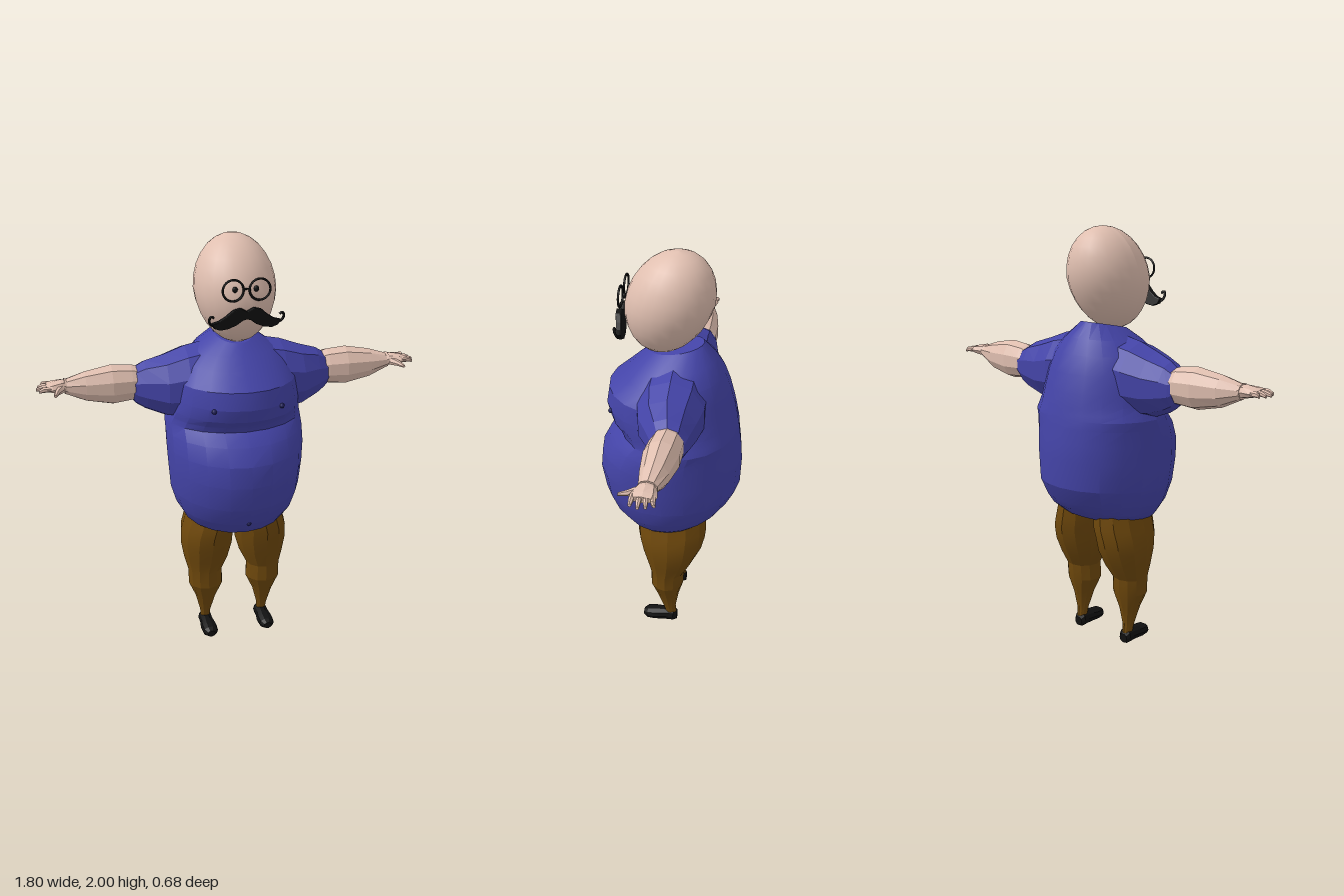
import * as THREE from 'three';
import { toCreasedNormals } from 'three/addons/utils/BufferGeometryUtils.js';

const mat = (color, flatShading = false) => new THREE.MeshStandardMaterial({ color, flatShading });
const V = (x, y, z) => new THREE.Vector3(x, y, z);

// Oval cross-section around c, spanned by u and v; sections advance along u x v
function oval(c, u, v, n) {
  return Array.from({ length: n }, (_, i) => {
    const a = (i / n) * Math.PI * 2;
    return c.clone().addScaledVector(u, Math.cos(a)).addScaledVector(v, Math.sin(a));
  });
}

// Skin over cross-sections with closed ends; side = -1 mirrors it in x
function loft(rings, side = 1, crease = 0.4) {
  if (side < 0) rings = rings.map(r => r.map(p => V(-p.x, p.y, p.z)).reverse());
  const n = rings[0].length, last = rings.length - 1, pos = [], idx = [];
  const middle = r => r.reduce((s, p) => s.add(p), V(0, 0, 0)).divideScalar(n);
  rings.flat().concat(middle(rings[0]), middle(rings[last])).forEach(p => pos.push(p.x, p.y, p.z));
  const c0 = n * rings.length;
  for (let j = 0; j < n; j++) {
    const k = (j + 1) % n;
    for (let i = 0; i < last; i++) {
      const a = i * n + j, b = i * n + k;
      idx.push(a, b, b + n, a, b + n, a + n);
    }
    idx.push(c0, k, j, c0 + 1, last * n + j, last * n + k);
  }
  const g = new THREE.BufferGeometry();
  g.setAttribute('position', new THREE.Float32BufferAttribute(pos, 3));
  g.setIndex(idx);
  return toCreasedNormals(g, crease);
}

export function createModel() {
  const model = new THREE.Group();
  const shirt = mat(0x4444a8), sleeveMat = mat(0x4444a8, true), skin = mat(0xe0bfb0);
  const skinFlat = mat(0xe0bfb0, true), trousers = mat(0x70490c), black = mat(0x111111);
  const add = (name, geo, material, x = 0, y = 0, z = 0) => {
    const m = new THREE.Mesh(geo, material);
    m.name = name;
    m.position.set(x, y, z);
    model.add(m);
    return m;
  };

  // Torso: front y, front z, back y, back z, half width
  const torso = [
    [.605, .145, .665, -.19, .21], [.64, .22, .72, -.26, .255], [.71, .28, .76, -.29, .285],
    [.80, .32, .84, -.33, .31], [.92, .34, .97, -.335, .32], [1.02, .33, 1.05, -.33, .325],
    [1.10, .29, 1.12, -.32, .325], [1.155, .235, 1.16, -.315, .325], [1.185, .25, 1.185, -.31, .315],
    [1.22, .283, 1.22, -.305, .305], [1.28, .30, 1.28, -.292, .295], [1.36, .287, 1.36, -.27, .28],
    [1.43, .21, 1.44, -.24, .24], [1.48, .16, 1.51, -.2, .18], [1.53, .10, 1.58, -.145, .09],
  ].map(([yf, zf, yb, zb, w]) =>
    oval(V(0, (yf + yb) / 2, (zf + zb) / 2), V(0, (yf - yb) / 2, (zf - zb) / 2), V(w, 0, 0), 20));
  add('torso', loft(torso, 1, 0.35), shirt);
  add('navel', new THREE.SphereGeometry(.012, 8, 6), mat(0x22225c), 0, .715, .276);

  // Egg-shaped head, chin pushed forward
  const head = new THREE.SphereGeometry(1, 24, 14);
  const hp = head.attributes.position;
  for (let i = 0; i < hp.count; i++) {
    const y = hp.getY(i), taper = y < 0 ? 1 + .08 * y : 1;
    hp.setXYZ(i, hp.getX(i) * .185 * taper, 1.765 + y * .235, .01 - .04 * y + hp.getZ(i) * .198 * taper);
  }
  head.computeVertexNormals();
  add('head', head, skin);

  // Moustache body, leaning with the face
  const half = [[.03, 1.722], [.06, 1.715], [.09, 1.688], [.12, 1.668], [.148, 1.66],
    [.14, 1.642], [.115, 1.632], [.08, 1.637], [.045, 1.652], [.02, 1.672]];
  const outline = [[0, 1.705], ...half, [0, 1.678], ...half.slice().reverse().map(([x, y]) => [-x, y])];
  const lean = g => {
    const p = g.attributes.position;
    for (let i = 0; i < p.count; i++) p.setZ(i, p.getZ(i) + (p.getY(i) - 1.68) * .28);
    g.computeVertexNormals();
    return g;
  };
  const tache = new THREE.ExtrudeGeometry(
    new THREE.Shape(outline.map(p => new THREE.Vector2(...p))),
    { depth: .014, bevelThickness: .006, bevelSize: .004, bevelSegments: 2 });
  add('moustache', lean(tache.translate(0, 0, .209)), black);

  // Glasses bridge
  add('glassesBridge', new THREE.CylinderGeometry(.004, .004, .03, 6).rotateZ(Math.PI / 2), black, 0, 1.805, .215);

  for (const s of [1, -1]) {
    const side = s > 0 ? 'left' : 'right';
    const along = (list, n) => loft(list.map(([x, y, z, ry, rz]) =>
      oval(V(x, y, z), V(0, ry, 0), V(0, 0, rz), n)), s);

    // Face details
    add(side + 'Lens', new THREE.TorusGeometry(.046, .005, 6, 28), black, s * .059, 1.8, .215);
    add(side + 'Pupil', new THREE.SphereGeometry(.012, 12, 8).scale(1, 1.1, .7), black, s * .047, 1.8, .2);
    const curl = new THREE.CatmullRomCurve3([[.13, 1.648], [.155, 1.656], [.166, 1.678], [.157, 1.697], [.146, 1.688]]
      .map(([x, y]) => V(s * x, y, .219)));
    add(side + 'MoustacheCurl', lean(new THREE.TubeGeometry(curl, 16, .006, 6)), black);
    add(side + 'ChestPoint', new THREE.SphereGeometry(.012, 8, 6), mat(0x22225c), s * .155, 1.275, .254);

    // Sleeve: x, top, bottom, front z, back z
    const sleeve = [[.08, 1.53, 1.17, .13, -.19], [.225, 1.5, 1.16, .125, -.19], [.32, 1.465, 1.17, .1, -.17],
      [.41, 1.435, 1.205, .045, -.15], [.45, 1.41, 1.23, .02, -.14], [.468, 1.4, 1.25, .01, -.133]];
    add(side + 'Sleeve', along(sleeve.map(([x, t, b, f, k]) =>
      [x, (t + b) / 2, (f + k) / 2, (t - b) / 2, (f - k) / 2]), 10), sleeveMat);

    // Forearm, palm, fingers and thumb
    add(side + 'Forearm', along([[.44, 1.335, -.06, .075, .07], [.47, 1.335, -.06, .085, .076],
      [.56, 1.335, -.055, .094, .08], [.68, 1.338, -.05, .07, .063], [.765, 1.346, -.043, .036, .042],
      [.775, 1.35, -.042, .036, .042]], 10), skinFlat);
    add(side + 'Palm', along([[.765, 1.35, -.042, .028, .036], [.79, 1.352, -.04, .03, .045],
      [.83, 1.353, -.037, .022, .056], [.855, 1.353, -.037, .014, .052]], 8), skinFlat);
    [[-.078, -.088, .878], [-.05, -.058, .893], [-.024, -.028, .9], [.004, .005, .888]].forEach(([z0, z1, x1], i) =>
      add(side + 'Finger' + (i + 1), along([[.835, 1.354, z0, .013, .012],
        [.87, 1.354, (z0 + z1) / 2, .012, .011], [x1, 1.347, z1, .008, .007]], 6), skinFlat));
    const thumb = [[.79, 1.347, -.01, .02], [.812, 1.345, .03, .013], [.822, 1.342, .066, .007]]
      .map(([x, y, z, r]) => oval(V(x, y, z), V(r, 0, 0), V(0, r, 0), 6));
    add(side + 'Thumb', loft(thumb, s), skinFlat);

    // Leg: y, inner x, outer x, front z, back z
    const leg = [[.05, .125, .17, .005, -.05], [.1, .122, .175, .018, -.045], [.19, .098, .198, .05, -.06],
      [.27, .062, .232, .08, -.083], [.35, .064, .234, .08, -.088], [.42, .03, .252, .1, -.13],
      [.5, .008, .265, .125, -.168], [.57, .004, .262, .142, -.185], [.62, -.005, .247, .148, -.19],
      [.7, -.005, .225, .145, -.185]]
      .map(([y, i, o, f, b]) => oval(V((i + o) / 2, y, (f + b) / 2), V(0, 0, (f - b) / 2), V((o - i) / 2, 0, 0), 12));
    add(side + 'Leg', loft(leg, s, 0.3), trousers);

    // Shoe: z, half width, top, bottom
    const shoe = [[-.052, .022, .055, .008], [-.035, .034, .075, 0], [.015, .034, .07, 0], [.06, .041, .064, 0],
      [.1, .038, .058, .003], [.12, .02, .045, .012]]
      .map(([z, w, t, b]) => oval(V(.147, (t + b) / 2, z), V(w, 0, 0), V(0, (t - b) / 2, 0), 10));
    add(side + 'Shoe', loft(shoe, s), black);
  }
  return model;
}
